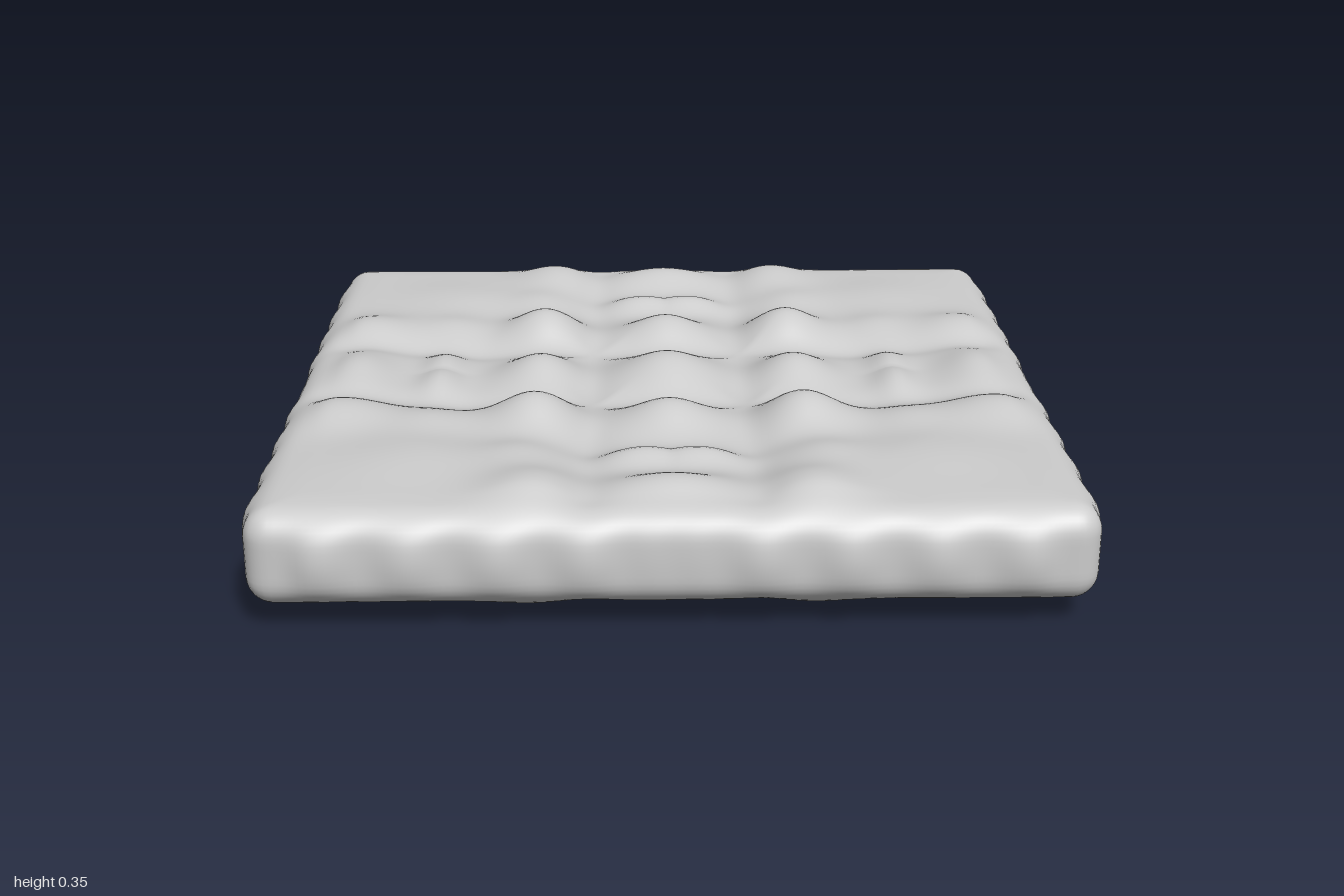
import * as THREE from 'three';
import { mergeVertices } from 'three/addons/utils/BufferGeometryUtils.js';

const HALF = new THREE.Vector3(0.975, 0.115, 0.975);
const RADIUS = 0.065;
const MID_Y = 0.18;

// Raised pillows in one quadrant: x, z, height, spread x, spread z
const PILLOWS = [
  [0, 0, 0.07, 0.095, 0.095],
  [0.34, 0.34, 0.083, 0.085, 0.085],
  [0.34, 0, 0.064, 0.075, 0.085],
  [0.6, 0.06, 0.036, 0.04, 0.085],
  [0.59, 0.36, 0.026, 0.07, 0.07],
  [0.83, 0.33, 0.038, 0.09, 0.08],
  [0.82, 0, 0.036, 0.06, 0.1],
  [0.62, 0.62, 0.018, 0.12, 0.12],
  [0.82, 0.82, 0.008, 0.2, 0.2],
];

const bell = (d, s) => Math.exp(-0.5 * (d / s) ** 2);

// Relief height, mirrored about both axes and both diagonals
function relief(px, pz) {
  const x = Math.abs(px), z = Math.abs(pz);
  // Shallow basin that rises to the flat corner areas
  let h = -0.022 * (1 - THREE.MathUtils.smoothstep(Math.hypot(x, z), 0.55, 0.85));
  for (const [cx, cz, a, sx, sz] of PILLOWS) {
    h += a * bell(x - cx, sx) * bell(z - cz, sz);
    if (cx !== cz) h += a * bell(x - cz, sz) * bell(z - cx, sx);
  }
  // Grooves between the pillow rows
  h -= 0.014 * Math.max(bell(x - 0.2, 0.04), bell(z - 0.2, 0.04));
  return h;
}

// Gentle scallops along the rim, one every 0.2, none at the middle
function scallop(t) {
  const ends = THREE.MathUtils.smoothstep(0.92 - Math.abs(t), 0, 0.1);
  const middle = 1 - bell(t, 0.07);
  return (0.005 + 0.018 * Math.cos(Math.PI * t / 0.2) ** 2 * middle) * ends;
}

function slabGeometry() {
  let geo = new THREE.BoxGeometry(HALF.x * 2, HALF.y * 2, HALF.z * 2, 120, 14, 120);
  geo.deleteAttribute('normal');
  geo.deleteAttribute('uv');
  geo = mergeVertices(geo, 1e-4);
  const pos = geo.attributes.position;
  const inner = HALF.clone().subScalar(RADIUS);
  const low = inner.clone().negate();
  const p = new THREE.Vector3(), core = new THREE.Vector3();
  for (let i = 0; i < pos.count; i++) {
    p.fromBufferAttribute(pos, i);
    // Round every edge
    core.copy(p).clamp(low, inner);
    p.sub(core).normalize().multiplyScalar(RADIUS).add(core);
    // Relief on both broad faces, fading at the rim
    const { x, y, z } = p;
    const edge = Math.max(Math.abs(x), Math.abs(z));
    const fade = THREE.MathUtils.smoothstep(0.98 - edge, 0, 0.13);
    p.y += (y / HALF.y) * relief(x, z) * fade;
    // Scalloped rim, strongest at mid height and easing in from the faces
    const belly = Math.max(0, 1 - (y / HALF.y) ** 2) ** 1.5;
    const reachX = THREE.MathUtils.smoothstep(Math.abs(x), inner.x, HALF.x);
    const reachZ = THREE.MathUtils.smoothstep(Math.abs(z), inner.z, HALF.z);
    p.x += Math.sign(x) * scallop(z) * belly * reachX;
    p.z += Math.sign(z) * scallop(x) * belly * reachZ;
    pos.setXYZ(i, p.x, p.y + MID_Y, p.z);
  }
  geo.computeVertexNormals();
  // Stand on the ground
  geo.computeBoundingBox();
  geo.translate(0, -geo.boundingBox.min.y, 0);
  return geo;
}

export function createModel() {
  const group = new THREE.Group();
  group.name = 'pillowedTile';
  const slab = new THREE.Mesh(slabGeometry(), new THREE.MeshStandardMaterial({ color: 0xcccccc }));
  slab.name = 'slab';
  group.add(slab);
  return group;
}
